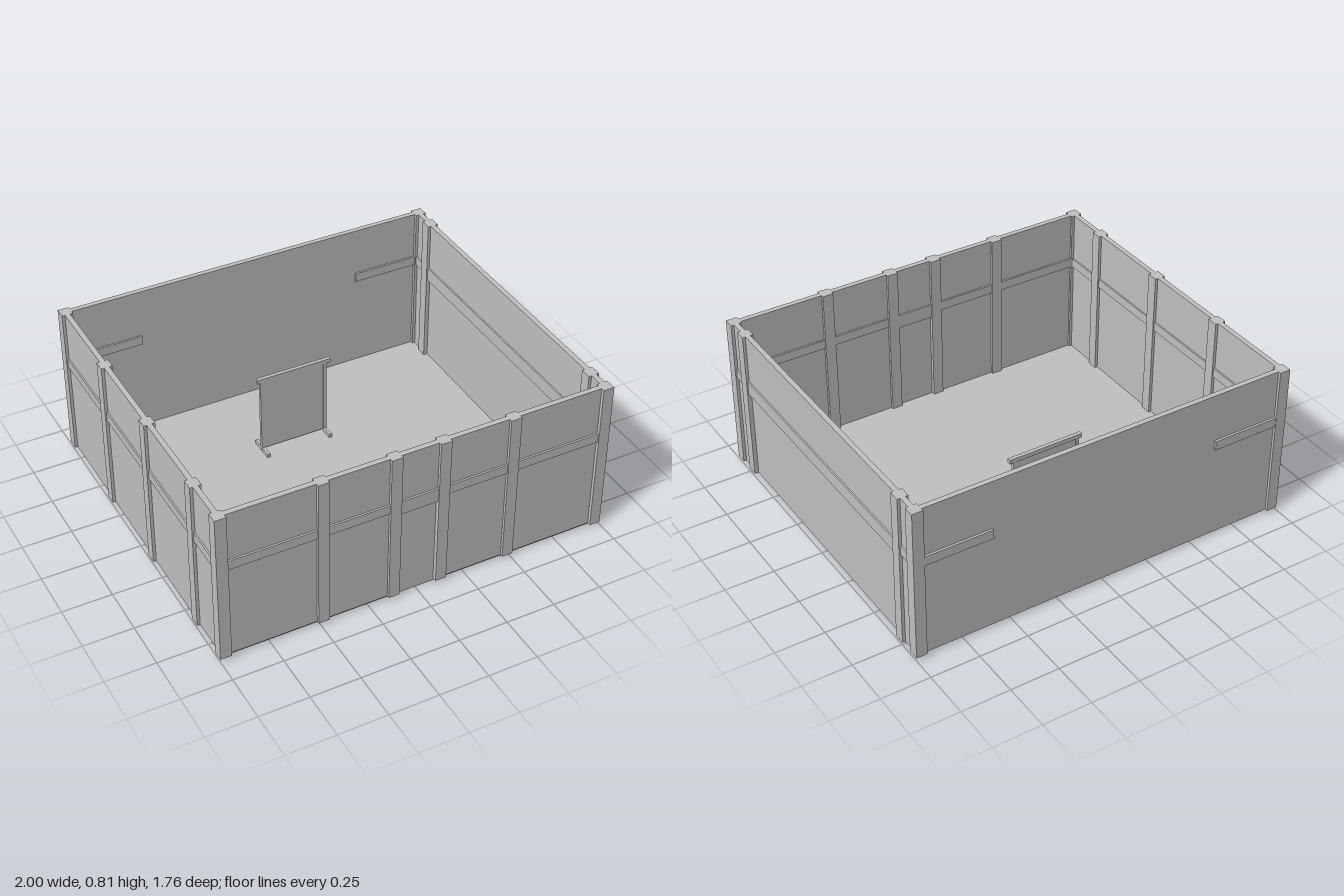
import * as THREE from 'three';

export function createModel() {
  const group = new THREE.Group();
  const grey = new THREE.MeshStandardMaterial({ color: 0xc0c0c0 });
  grey.name = 'plain grey';

  // Box given by its lower and upper limits on each axis
  const box = (name, x0, x1, y0, y1, z0, z1) => {
    const mesh = new THREE.Mesh(new THREE.BoxGeometry(x1 - x0, y1 - y0, z1 - z0), grey);
    mesh.position.set((x0 + x1) / 2, (y0 + y1) / 2, (z0 + z1) / 2);
    mesh.name = name;
    group.add(mesh);
  };
  const base = 0.015, top = 0.813, X = 0.972, Z = 0.85;
  const beamLow = 0.512, beamTop = 0.56, lintelLow = 0.488;
  const post = (name, x, z) => box(name, x - 0.028, x + 0.028, base, top, z - 0.028, z + 0.028);

  // Floor slab over staggered paving tiles
  box('floor', -0.97, 0.97, 0.006, base, -Z, Z);
  const row = 2 * Z / 7, gap = 0.001;
  for (let i = 0; i < 7; i++) {
    const seams = i % 2 ? [-0.97, 0, 0.97] : [-0.97, -0.485, 0.485, 0.97];
    for (let j = 0; j < seams.length - 1; j++) {
      box('floorTile', seams[j] + gap, seams[j + 1] - gap, 0, 0.006,
        -Z + i * row + gap, -Z + (i + 1) * row - gap);
    }
  }

  // Corner posts
  for (const sx of [-1, 1]) for (const sz of [-1, 1]) post('cornerPost', sx * X, sz * Z);

  // Front wall, with a thin door under a lintel
  for (const s of [-1, 1]) {
    const a = s < 0 ? -X : 0.095, b = s < 0 ? -0.095 : X;
    box('frontWall', a, b, base, top, 0.833, 0.86);
    box('frontBeam', a, b, beamLow, beamTop, 0.824, 0.87);
    for (const x of [0.123, 0.483]) post('frontPost', s * x, 0.847);
  }
  box('wallAboveDoor', -0.095, 0.095, beamTop, top, 0.833, 0.86);
  box('doorLintel', -0.095, 0.095, lintelLow, beamTop, 0.824, 0.87);
  box('door', -0.095, 0.095, base, lintelLow, 0.838, 0.852);

  // Back wall, with a short beam at each end
  box('backWall', -X, X, base, top, -0.864, -0.838);
  for (const s of [-1, 1]) {
    box('backBeam', s < 0 ? -X : 0.597, s < 0 ? -0.597 : X, beamLow, beamTop, -0.876, -0.828);
  }

  // Wall on the -x side
  box('rightWall', -0.985, -0.959, base, top, -Z, Z);
  box('rightBeam', -0.993, -0.951, beamLow, beamTop, -Z, Z);
  for (const z of [-0.365, 0.12, 0.605]) post('rightPost', -X, z);

  // Wall on the +x side, with one wide recessed panel under a lintel
  for (const s of [-1, 1]) {
    const a = s < 0 ? -Z : 0.7, b = s < 0 ? -0.7 : Z;
    box('leftEndWall', 0.959, 0.985, base, top, a, b);
    box('leftEndBeam', 0.951, 0.993, beamLow, beamTop, a, b);
    post('leftPost', X, s * 0.728);
  }
  box('leftUpperWall', 0.959, 0.985, beamTop, top, -0.7, 0.7);
  box('leftLintel', 0.951, 0.993, lintelLow, beamTop, -0.7, 0.7);
  box('leftWidePanel', 0.965, 0.979, base, lintelLow, -0.7, 0.7);

  // Free-standing screen on two feet
  box('screenPanel', -0.175, 0.175, 0.03, 0.44, -0.373, -0.363);
  box('screenTopRail', -0.2, 0.2, 0.435, 0.457, -0.378, -0.358);
  for (const x of [-0.176, 0.17]) {
    box('screenLeg', x - 0.009, x + 0.009, base, 0.437, -0.377, -0.359);
    box('screenFoot', x - 0.008, x + 0.008, base, 0.035, -0.435, -0.3);
  }
  return group;
}
